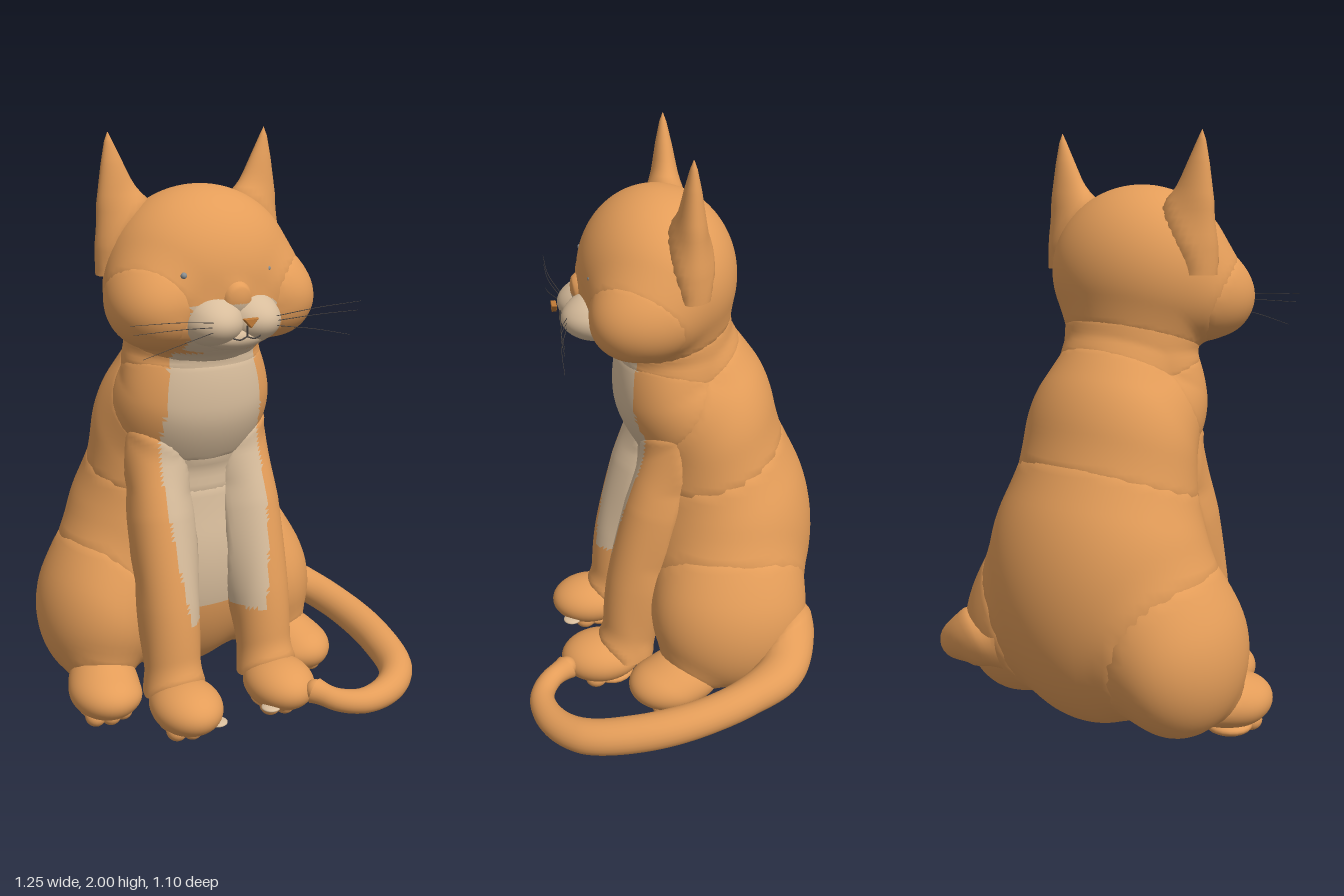
import * as THREE from 'three';
import { mergeVertices } from 'three/addons/utils/BufferGeometryUtils.js';

const mat = (name, color) => Object.assign(new THREE.MeshStandardMaterial({ color }), { name });

// Plain ellipsoid, leaning about z if asked
const blob = (c, r, lean = 0, seg = 20) => new THREE.SphereGeometry(1, seg, Math.round(seg * 0.7))
  .scale(...r).rotateZ(lean).translate(...c);

// Tapered tube: rings of a TubeGeometry are scaled along the path
function taper(pts, radii, n, sides = 24) {
  const path = new THREE.CatmullRomCurve3(pts.map(p => new THREE.Vector3(...p)));
  const geo = new THREE.TubeGeometry(path, n, 1, sides);
  const pos = geo.attributes.position, v = new THREE.Vector3();
  for (let i = 0; i <= n; i++) {
    const c = path.getPointAt(i / n);
    const t = (i / n) * (radii.length - 1), k = Math.min(Math.floor(t), radii.length - 2);
    const r = THREE.MathUtils.lerp(radii[k], radii[k + 1], t - k);
    for (let j = 0; j <= sides; j++) {
      const q = i * (sides + 1) + j;
      v.fromBufferAttribute(pos, q).sub(c).multiplyScalar(r).add(c);
      pos.setXYZ(q, v.x, v.y, v.z);
    }
  }
  return geo;
}

// Soft body masses: [name, centre, radii, lean]
const masses = [
  ['body', [0, 0.53, -0.215], [0.405, 0.5, 0.335]],
  ['torso', [0, 0.94, -0.16], [0.315, 0.38, 0.245]],
  ['chest', [0, 1.12, -0.02], [0.27, 0.23, 0.195]],
  ['neck', [0, 1.28, -0.05], [0.23, 0.2, 0.195]],
  ['head', [0, 1.54, 0.02], [0.322, 0.292, 0.268]],
  ['jaw', [0, 1.42, 0.12], [0.27, 0.1, 0.16]],
  ['noseBridge', [0, 1.5, 0.245], [0.045, 0.055, 0.05]],
];
for (const s of [-1, 1]) {
  const side = s > 0 ? 'left' : 'right';
  masses.push(
    [side + 'Cheek', [s * 0.228, 1.465, 0.115], [0.13, 0.13, 0.155]],
    [side + 'Haunch', [s * 0.305, 0.345, -0.19], [0.215, 0.295, 0.28], s * 0.18],
    [side + 'FrontPaw', [s * 0.183, 0.105, 0.265], [0.12, 0.088, 0.147]],
    [side + 'HindPaw', [s * 0.387, 0.11, 0.04], [0.122, 0.088, 0.148]],
  );
}

// Approximate signed distance to a mass
function distance(p, [, c, r, lean = 0]) {
  const dx = p.x - c[0], dy = p.y - c[1], dz = p.z - c[2];
  const co = Math.cos(lean), si = Math.sin(lean);
  const q = [(dx * co + dy * si) / r[0], (dy * co - dx * si) / r[1], dz / r[2]];
  const k0 = Math.hypot(...q), k1 = Math.hypot(q[0] / r[0], q[1] / r[1], q[2] / r[2]);
  return k0 * (k0 - 1) / Math.max(k1, 1e-6);
}

// Swell a surface where it meets neighbouring masses, so joins flow together
function fuse(source, self) {
  source.deleteAttribute('uv');
  source.deleteAttribute('normal');
  const geo = mergeVertices(source);
  geo.computeVertexNormals();
  const pos = geo.attributes.position, nor = geo.attributes.normal;
  const p = new THREE.Vector3(), n = new THREE.Vector3();
  for (let i = 0; i < pos.count; i++) {
    p.fromBufferAttribute(pos, i);
    n.fromBufferAttribute(nor, i);
    let swell = 0;
    for (const m of masses) {
      if (m[0] === self) continue;
      const k = Math.min(0.085, Math.min(...m[2]) * 0.8);
      const h = Math.max(k - Math.abs(distance(p, m)), 0) / k;
      swell = Math.max(swell, h * h * k / 4);
    }
    p.addScaledVector(n, swell);
    pos.setXYZ(i, p.x, p.y, p.z);
  }
  geo.computeVertexNormals();
  return geo;
}

// Cream markings: the chest bib and the patch round the mouth
const isCream = (x, y, z) => (y > 0.38 && y < 1.31 && z > -0.03
  && Math.abs(x) < 0.145 + 0.045 * Math.sin(Math.PI * (y - 0.38) / 0.98))
  || (y > 1.31 && y < 1.485 && z > 0.2 && Math.abs(x) < 0.15);

// Put the faces inside the markings into a second group
function marked(geo) {
  const p = geo.attributes.position, idx = geo.index.array, a = [], b = [];
  for (let i = 0; i < idx.length; i += 3) {
    const f = [idx[i], idx[i + 1], idx[i + 2]];
    const mid = get => (get.call(p, f[0]) + get.call(p, f[1]) + get.call(p, f[2])) / 3;
    (isCream(mid(p.getX), mid(p.getY), mid(p.getZ)) ? b : a).push(...f);
  }
  geo.setIndex([...a, ...b]);
  geo.addGroup(0, a.length, 0);
  geo.addGroup(a.length, b.length, 1);
  return geo;
}

export function createModel() {
  const fur = mat('orangeFur', 0xe49d59);
  const cream = mat('creamFur', 0xd8bd9c);
  const noseMat = mat('noseBrown', 0xc07a36);
  const dark = mat('darkGrey', 0x4a4440);
  const eyeMat = mat('eyeGrey', 0x8a8f92);
  const coat = [fur, cream];

  const model = new THREE.Group();
  model.name = 'sittingCat';
  model.position.x = -0.1;

  const add = (name, geo, material) => {
    const mesh = new THREE.Mesh(geo, material);
    mesh.name = name;
    model.add(mesh);
  };

  // Trunk, head, haunches and paws
  for (const [name, c, r, lean] of masses) {
    add(name, marked(fuse(blob(c, r, lean, c[0] === 0 ? 72 : 44), name)), coat);
  }

  // Chin, nose and mouth
  add('chin', blob([0, 1.375, 0.262], [0.11, 0.045, 0.065], 0, 32), cream);
  const noseShape = new THREE.Shape([[-0.023, 0.012], [0, -0.012], [0.023, 0.012]]
    .map(p => new THREE.Vector2(...p)));
  const noseGeo = new THREE.ExtrudeGeometry(noseShape, {
    depth: 0.012, bevelEnabled: true, bevelSize: 0.003, bevelThickness: 0.003, bevelSegments: 2 });
  add('nose', noseGeo.translate(0, 1.436, 0.362), noseMat);
  add('mouthLine', new THREE.BoxGeometry(0.004, 0.035, 0.006).translate(0, 1.405, 0.348), dark);

  for (const s of [-1, 1]) {
    const part = (name, geo, m) => add((s > 0 ? 'left' : 'right') + name, geo, m);

    // Face details
    part('Muzzle', fuse(blob([s * 0.072, 1.422, 0.272], [0.08, 0.062, 0.08], 0, 36)), cream);
    part('Eye', blob([s * 0.15 - 0.024, 1.58, 0.256], [0.01, 0.01, 0.01]), eyeMat);
    part('Mouth', taper([[0, 1.388, 0.347], [s * 0.025, 1.38, 0.349], [s * 0.05, 1.386, 0.345]],
      [0.0025, 0.0025], 8, 6), dark);
    [[0.41, 1.467, 1.44], [0.4, 1.438, 1.425], [0.37, 1.36, 1.41]].forEach(([x, y, y0], i) => {
      part('Whisker' + i, taper([[s * 0.11, y0, 0.335], [s * 0.24, (y + y0) / 2 + 0.006, 0.366],
        [s * x, y, 0.37]], [0.0014, 0.0007], 12, 5), dark);
    });

    // Ear: oval sections narrowing to a point [centre x, y, half width, half depth]
    const sections = [[0.2, 1.55, 0.12, 0.058], [0.225, 1.65, 0.105, 0.06], [0.25, 1.78, 0.077, 0.05],
      [0.272, 1.9, 0.038, 0.028], [0.283, 1.97, 0.014, 0.012], [0.285, 2, 0.001, 0.001]];
    const ear = new THREE.CylinderGeometry(1, 1, 1, 28, 25, true);
    const p = ear.attributes.position;
    for (let i = 0; i < p.count; i++) {
      const t = (p.getY(i) + 0.5) * (sections.length - 1), k = Math.min(Math.floor(t), sections.length - 2);
      const [cx, y, rx, rz] = sections[k].map((v, j) => THREE.MathUtils.lerp(v, sections[k + 1][j], t - k));
      p.setXYZ(i, s * cx + p.getX(i) * rx, y, -0.05 + p.getZ(i) * rz);
    }
    part('Ear', fuse(ear), fur);

    // Front leg
    part('FrontLeg', marked(fuse(taper([[s * 0.16, 1.02, -0.02], [s * 0.174, 0.75, 0.06],
      [s * 0.178, 0.4, 0.14], [s * 0.183, 0.12, 0.165]], [0.08, 0.1, 0.1, 0.095], 60, 40))), coat);
    part('PawPatch', blob([s * 0.105, 0.062, 0.345], [0.034, 0.01, 0.034]), cream);

    // Low pads under each paw
    for (const [name, x, z] of [['FrontPad', 0.183, 0.25], ['HindPad', 0.387, 0.03]]) {
      part(name, blob([s * x, 0.03, z - 0.025], [0.08, 0.03, 0.08]), fur);
      for (const d of [-1, 0, 1]) {
        part(name + 'Toe' + (d + 2), blob([s * x + d * 0.05, 0.036, z + 0.055 - Math.abs(d) * 0.015],
          [0.036, 0.034, 0.04]), fur);
      }
    }
  }

  // Tail curling round the left side to the front paws
  const tailPts = [[0.26, 0.3, -0.36], [0.42, 0.28, -0.39], [0.54, 0.225, -0.34], [0.615, 0.19, -0.19],
    [0.657, 0.155, 0], [0.657, 0.125, 0.19], [0.61, 0.1, 0.375], [0.51, 0.09, 0.47],
    [0.38, 0.09, 0.502], [0.295, 0.1, 0.465], [0.25, 0.118, 0.4]];
  add('tail', fuse(taper(tailPts, [0.1, 0.085, 0.072, 0.065, 0.063, 0.064, 0.064, 0.061, 0.052, 0.042, 0.036],
    90)), fur);
  add('tailTip', blob(tailPts.at(-1), [0.036, 0.036, 0.036]), fur);

  return model;
}
